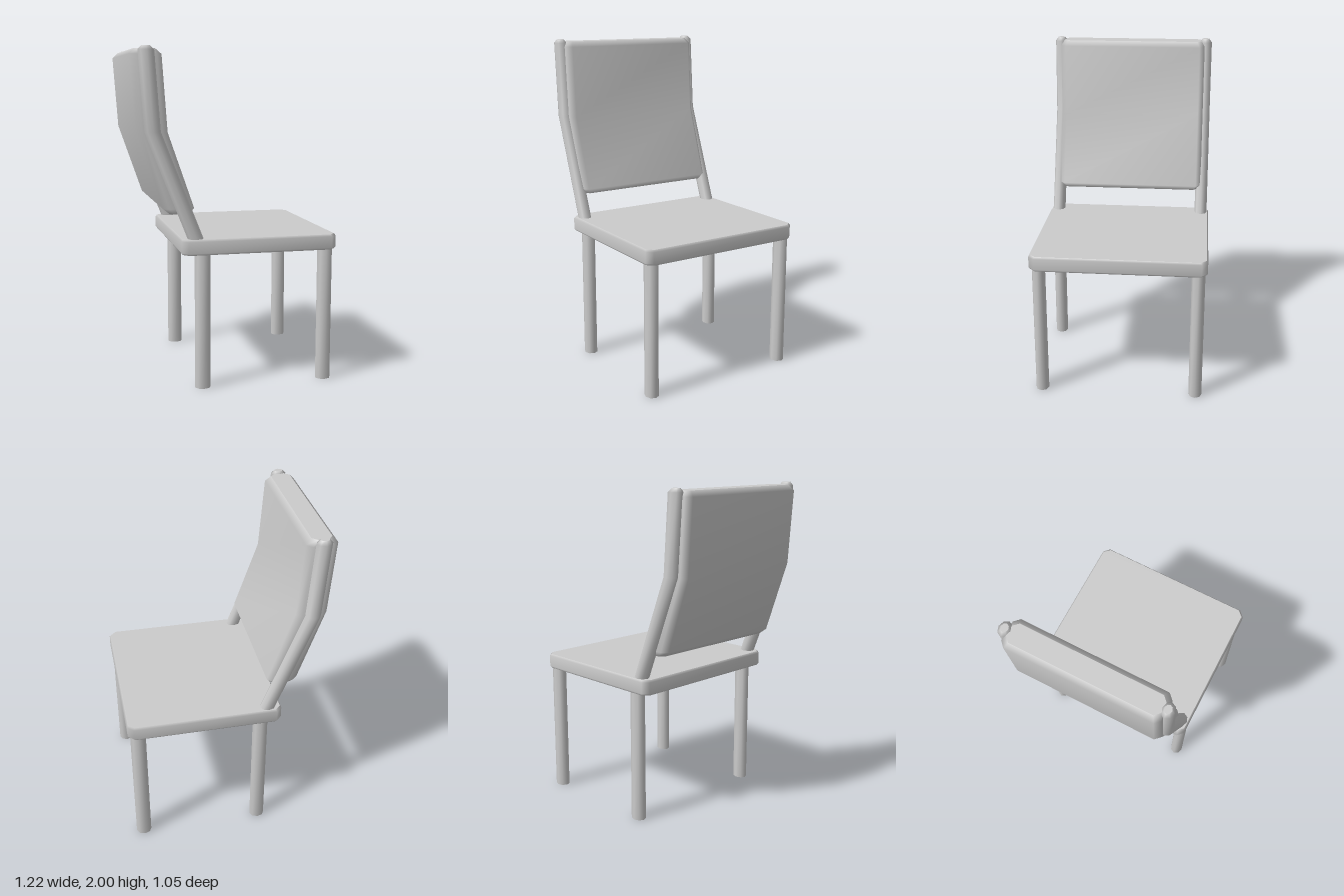
import * as THREE from 'three';

const material = new THREE.MeshStandardMaterial({ color: 0xcccccc });

// Horizontal outlines, counter-clockwise seen from above, as [x, z]
function ellipse(rx, rz, sides = 8) {
  return Array.from({ length: sides }, (_, i) => {
    const a = (i / sides) * Math.PI * 2;
    return [rx * Math.cos(a), -rz * Math.sin(a)];
  });
}

function chamferedRect(hx, hz, c) {
  return [
    [hx, hz - c], [hx, -hz + c], [hx - c, -hz], [-hx + c, -hz],
    [-hx, -hz + c], [-hx, hz - c], [-hx + c, hz], [hx - c, hz],
  ];
}

// Smooth skin through rings [centreX, y, outline], with flat end caps
function loft(name, rings) {
  const n = rings[0][2].length;
  const positions = [];
  const index = [];
  const addRing = ([cx, y, outline]) => {
    const start = positions.length / 3;
    outline.forEach(([x, z]) => positions.push(cx + x, y, z));
    return start;
  };
  const starts = rings.map(addRing);
  for (let r = 0; r < rings.length - 1; r++) {
    for (let i = 0; i < n; i++) {
      const j = (i + 1) % n;
      const a = starts[r] + i, b = starts[r] + j;
      const c = starts[r + 1] + j, d = starts[r + 1] + i;
      index.push(a, b, c, a, c, d);
    }
  }
  const bottom = addRing(rings[0]);
  const top = addRing(rings[rings.length - 1]);
  for (let i = 1; i < n - 1; i++) {
    index.push(bottom, bottom + i + 1, bottom + i, top, top + i, top + i + 1);
  }
  const geometry = new THREE.BufferGeometry();
  geometry.setAttribute('position', new THREE.Float32BufferAttribute(positions, 3));
  geometry.setIndex(index);
  geometry.computeVertexNormals();
  const mesh = new THREE.Mesh(geometry, material);
  mesh.name = name;
  return mesh;
}

export function createModel() {
  const chair = new THREE.Group();
  chair.name = 'chair';

  // Seat slab with clipped corners and softened rims
  const seatOuter = chamferedRect(0.47, 0.525, 0.035);
  const seatInner = chamferedRect(0.462, 0.517, 0.035);
  chair.add(loft('seat', [
    [0.14, 0.808, seatInner],
    [0.14, 0.82, seatOuter],
    [0.14, 0.888, seatOuter],
    [0.14, 0.9, seatInner],
  ]));

  // Bent back cushion
  const cushion = chamferedRect(0.092, 0.468, 0.032);
  const cushionEnd = chamferedRect(0.06, 0.45, 0.03);
  chair.add(loft('backrest', [
    [-0.33, 1.043, cushionEnd],
    [-0.338, 1.075, cushion],
    [-0.49, 1.515, cushion],
    [-0.521, 1.955, cushion],
    [-0.523, 1.987, cushionEnd],
  ]));

  const leg = ellipse(0.047, 0.04);
  const postTip = ellipse(0.026, 0.022);
  for (const side of [1, -1]) {
    const label = side > 0 ? 'left' : 'right';

    // Straight legs
    for (const [end, x] of [['Rear', -0.205], ['Front', 0.548]]) {
      const mesh = loft(`${label}${end}Leg`, [[x, 0, leg], [x, 0.82, leg]]);
      mesh.position.z = side * 0.472;
      chair.add(mesh);
    }

    // Bent back posts with domed tips
    const post = loft(`${label}BackPost`, [
      [-0.23, 0.86, leg],
      [-0.49, 1.52, leg],
      [-0.523, 1.978, leg],
      [-0.524, 2.0, postTip],
    ]);
    post.position.z = side * 0.474;
    chair.add(post);
  }
  return chair;
}
